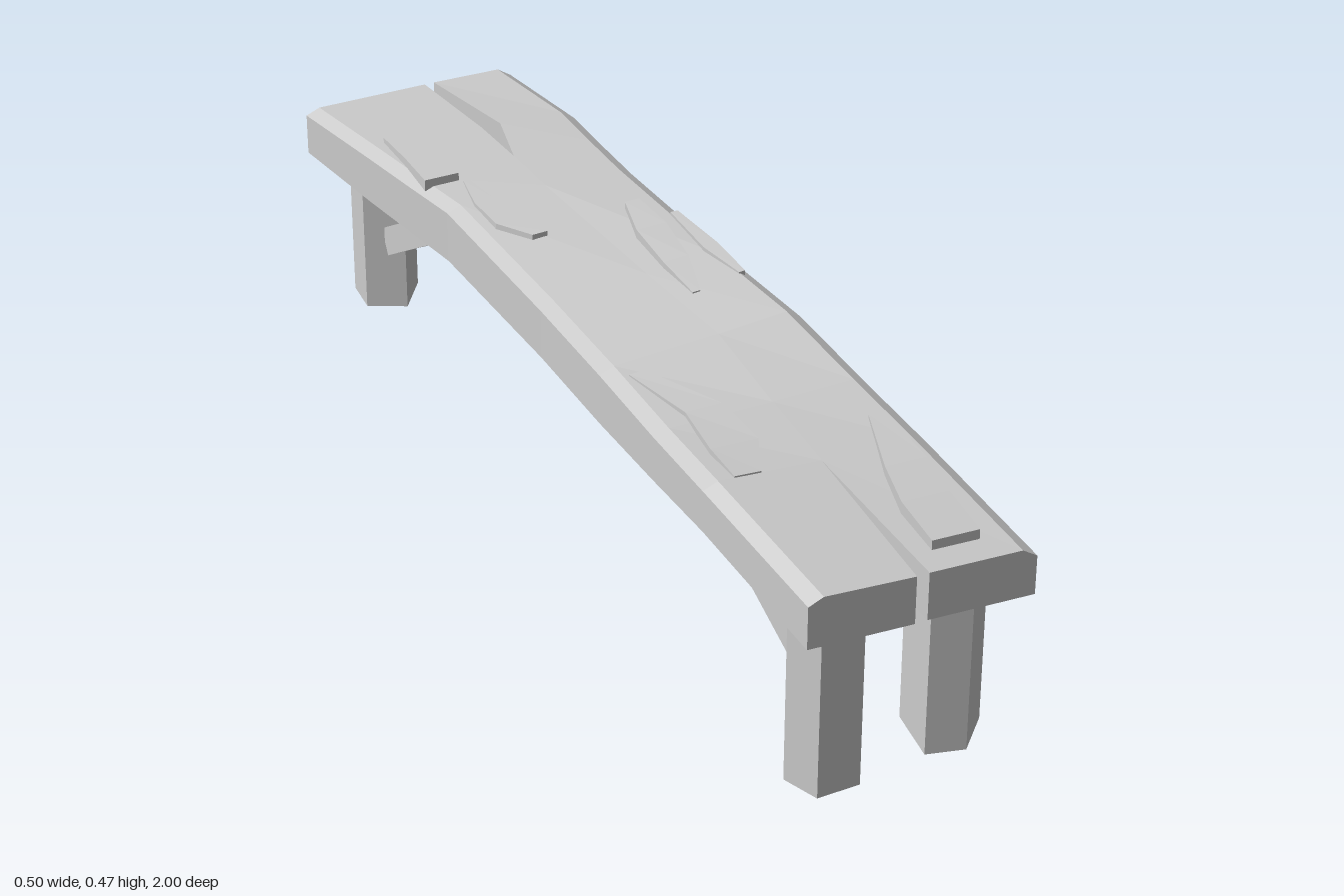
import * as THREE from 'three';

const material = new THREE.MeshStandardMaterial({ color: 0xcccccc, flatShading: true });

// Skin a list of rings (counter-clockwise seen from +z, running towards -z) and cap both ends.
function loft(name, rings, skip = () => false) {
  const pos = [];
  const tri = (...pts) => pts.forEach(p => pos.push(...p));
  const n = rings[0].length;
  for (let i = 0; i < rings.length - 1; i++) {
    for (let j = 0; j < n; j++) {
      if (skip(i, j)) continue;
      const k = (j + 1) % n;
      const a = rings[i][j], b = rings[i][k], c = rings[i + 1][k], d = rings[i + 1][j];
      tri(a, d, c);
      tri(a, c, b);
    }
  }
  const first = rings[0], last = rings[rings.length - 1];
  for (let j = 1; j < n - 1; j++) {
    tri(first[0], first[j], first[j + 1]);
    tri(last[0], last[j + 1], last[j]);
  }
  const g = new THREE.BufferGeometry();
  g.setAttribute('position', new THREE.Float32BufferAttribute(pos, 3));
  g.computeVertexNormals();
  const mesh = new THREE.Mesh(g, material);
  mesh.name = name;
  return mesh;
}

// Plank stations: z, left x, split left x, split right x, right x,
// bottom left y, bottom right y, top left y, top middle y, top right y
const stations = [
  [1.00, -0.245, -0.048, -0.025, 0.178, 0.32, 0.292, 0.410, 0.395, 0.383],
  [0.68, -0.253, -0.032, -0.032, 0.172, 0.36, 0.333, 0.447, 0.430, 0.422],
  [0.50, -0.245, -0.02, -0.02, 0.165, 0.355, 0.354, 0.449, 0.444, 0.444],
  [0.28, -0.230, 0.00, 0.00, 0.162, 0.345, 0.360, 0.450, 0.459, 0.468],
  [0.00, -0.200, 0.01, 0.01, 0.178, 0.325, 0.338, 0.430, 0.440, 0.446],
  [-0.45, -0.167, 0.035, 0.035, 0.220, 0.297, 0.303, 0.408, 0.408, 0.404],
  [-0.60, -0.180, 0.045, 0.045, 0.236, 0.295, 0.296, 0.402, 0.400, 0.394],
  [-0.75, -0.192, 0.050, 0.090, 0.250, 0.292, 0.291, 0.396, 0.394, 0.388],
  [-1.00, -0.212, 0.045, 0.065, 0.235, 0.292, 0.292, 0.384, 0.383, 0.380],
];
const INSET = 0.028;

// Height of the plank's top surface
function topY(x, z) {
  let i = 0;
  while (i < stations.length - 2 && stations[i + 1][0] > z) i++;
  const t = (z - stations[i][0]) / (stations[i + 1][0] - stations[i][0]);
  const s = stations[i].map((v, k) => THREE.MathUtils.lerp(v, stations[i + 1][k], t));
  const mid = (s[2] + s[3]) / 2;
  return x < mid
    ? THREE.MathUtils.mapLinear(x, s[1] + INSET, mid, s[7], s[8])
    : THREE.MathUtils.mapLinear(x, mid, s[4] - INSET, s[8], s[9]);
}

// The two halves of the plank, joined in the middle and split at both ends
function plank() {
  const group = new THREE.Group();
  group.name = 'plank';
  const closed = i => [i, i + 1].every(k => stations[k][2] === stations[k][3]);
  const left = stations.map(([z, xL, m, , , bL, bR, tL, tM]) => [
    [xL, bL, z], [m, (bL + bR) / 2, z], [m, tM, z], [xL + INSET, tL, z], [xL, tL - 0.011, z],
  ]);
  const right = stations.map(([z, , , m, xR, bL, bR, , tM, tR]) => [
    [m, (bL + bR) / 2, z], [xR, bR, z], [xR, tR - 0.018, z], [xR - INSET, tR, z], [m, tM, z],
  ]);
  group.add(loft('plankRightHalf', left, (i, j) => j === 1 && closed(i)));
  group.add(loft('plankLeftHalf', right, (i, j) => j === 4 && closed(i)));
  return group;
}

// Raised wood slivers: rows of x, z, width, height above the plank
const slivers = [
  [[0.055, 0.95, 0.09, 0.018], [0.06, 0.85, 0.09, 0.022], [0.085, 0.75, 0.08, 0.016], [0.12, 0.6, 0.03, 0.004]],
  [[-0.17, 0.68, 0.05, 0.003], [-0.15, 0.6, 0.09, 0.01], [-0.14, 0.48, 0.07, 0.008], [-0.18, 0.32, 0.03, 0.002]],
  [[0.045, 0.12, 0.015, 0.003], [0.07, 0, 0.05, 0.012], [0.095, -0.14, 0.06, 0.018], [0.125, -0.27, 0.03, 0.015]],
  [[0.148, 0.1, 0.012, 0.003], [0.152, -0.02, 0.03, 0.008], [0.175, -0.2, 0.015, 0.005]],
  [[-0.08, -0.24, 0.03, 0.012], [-0.105, -0.32, 0.05, 0.012], [-0.1, -0.43, 0.04, 0.008], [-0.085, -0.54, 0.012, 0.003]],
  [[-0.13, -0.55, 0.07, 0.016], [-0.115, -0.66, 0.08, 0.016], [-0.11, -0.78, 0.07, 0.01], [-0.08, -0.9, 0.02, 0.003]],
];

function sliver(rows) {
  return loft('woodSliver', rows.map(([x, z, w, h]) => {
    const a = x - w / 2, b = x + w / 2;
    return [
      [a, topY(a, z) - 0.02, z], [b, topY(b, z) - 0.02, z],
      [b, topY(b, z) + h, z], [a, topY(a, z) + h, z],
    ];
  }));
}

// Five-sided legs, each outline given as x, z corners
const legs = {
  frontRightLeg: [[-0.222, 0.9], [-0.2, 0.97], [-0.12, 0.97], [-0.09, 0.9], [-0.15, 0.84]],
  frontLeftLeg: [[0.015, 0.95], [0.083, 0.97], [0.15, 0.905], [0.125, 0.845], [0.035, 0.84]],
  backLeftLeg: [[0.212, -0.905], [0.18, -0.835], [0.1, -0.82], [0.08, -0.9], [0.14, -0.955]],
  backRightLeg: [[-0.03, -0.9], [-0.09, -0.82], [-0.16, -0.86], [-0.15, -0.94], [-0.06, -0.955]],
};

function leg(name, outline) {
  const shape = new THREE.Shape(outline.map(([x, z]) => new THREE.Vector2(x, -z)));
  const g = new THREE.ExtrudeGeometry(shape, { depth: 0.33, bevelEnabled: false });
  g.rotateX(-Math.PI / 2);
  const mesh = new THREE.Mesh(g, material);
  mesh.name = name;
  return mesh;
}

// Slanted square beam between two points
function brace(name, from, to) {
  const a = new THREE.Vector3(...from), b = new THREE.Vector3(...to);
  const mesh = new THREE.Mesh(new THREE.BoxGeometry(0.07, 0.055, a.distanceTo(b)), material);
  mesh.name = name;
  mesh.position.addVectors(a, b).multiplyScalar(0.5);
  mesh.lookAt(b);
  return mesh;
}

export function createModel() {
  const model = new THREE.Group();
  model.name = 'bench';
  model.add(plank());
  slivers.forEach(rows => model.add(sliver(rows)));
  for (const [name, outline] of Object.entries(legs)) model.add(leg(name, outline));
  model.add(
    brace('frontLeftBrace', [0.09, 0.17, 0.87], [0.09, 0.36, 0.51]),
    brace('frontRightBrace', [-0.15, 0.21, 0.88], [-0.15, 0.37, 0.56]),
    brace('backLeftBrace', [0.148, 0.14, -0.84], [0.14, 0.32, -0.53]),
    brace('backRightBrace', [-0.09, 0.145, -0.84], [-0.09, 0.32, -0.54]),
  );
  return model;
}
